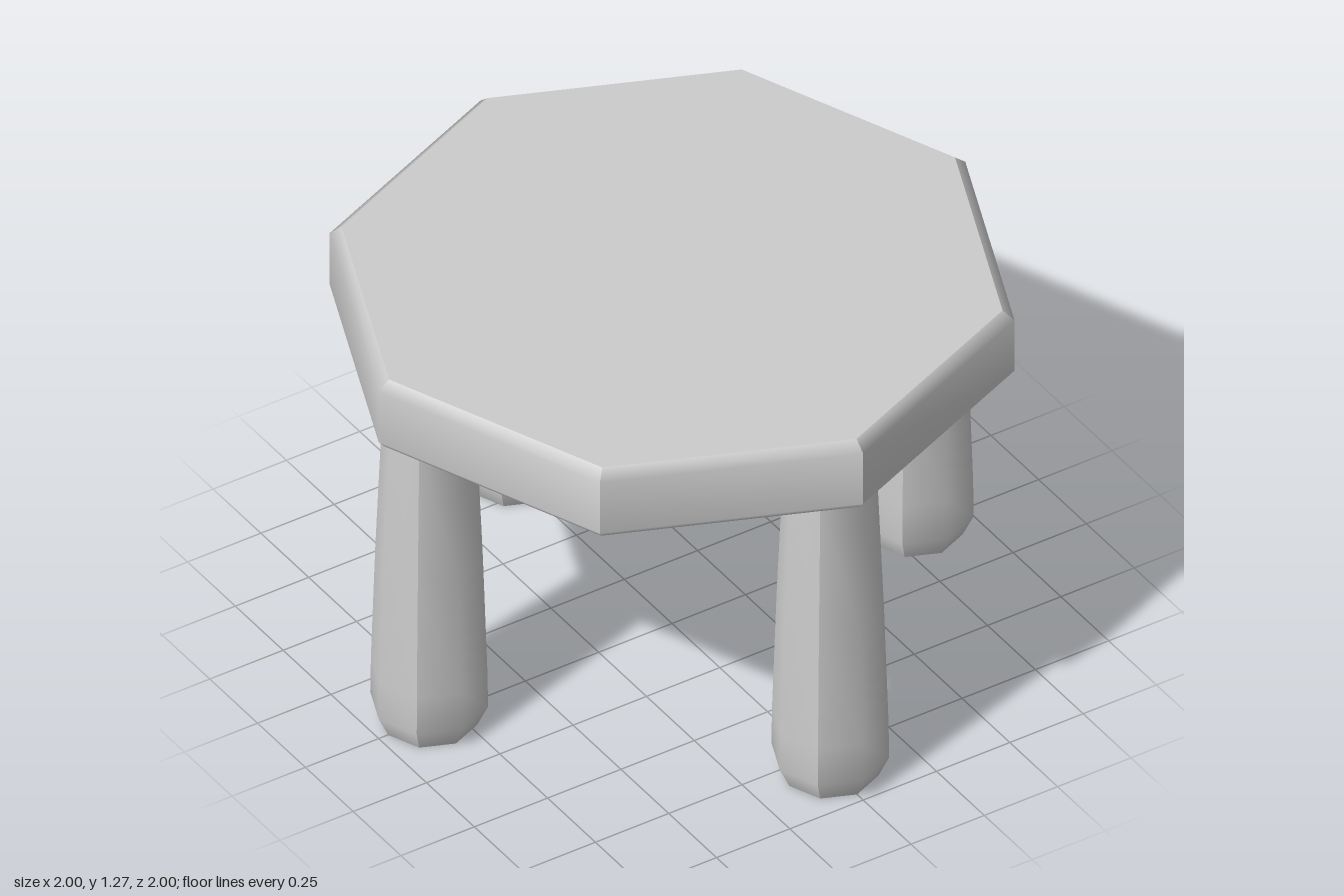
import * as THREE from 'three';
import { mergeGeometries } from 'three/addons/utils/BufferGeometryUtils.js';

const material = new THREE.MeshStandardMaterial({ color: 0xcccccc });

// Eight-sided turned solid with flat caps. Shading is smooth within each
// strip of sides and sharp between strips.
function octagonSolid(profile, strips, start) {
  const points = profile.map(([r, y]) => new THREE.Vector2(r, y));
  const arc = (Math.PI * 2) / strips;
  const parts = [];
  for (let i = 0; i < strips; i++) {
    const side = new THREE.LatheGeometry(points, 8 / strips, start + i * arc, arc);
    side.computeVertexNormals();
    parts.push(side);
  }
  const bottom = points[0];
  const top = points[points.length - 1];
  parts.push(new THREE.CircleGeometry(bottom.x, 8).rotateX(Math.PI / 2).translate(0, bottom.y, 0));
  parts.push(new THREE.CircleGeometry(top.x, 8).rotateX(-Math.PI / 2).translate(0, top.y, 0));
  return mergeGeometries(parts);
}

export function createModel() {
  const model = new THREE.Group();
  model.name = 'stool';

  // Octagonal seat with chamfered rims
  const seat = new THREE.Mesh(
    octagonSolid([[0.98, 1.037], [1, 1.06], [1, 1.24], [0.965, 1.27]], 8, 0),
    material
  );
  seat.name = 'seat';
  model.add(seat);

  // Four tapered legs with chamfered feet, sharp only on the diagonal edges
  const legGeometry = octagonSolid(
    [[0.14, 0], [0.172, 0.07], [0.17, 0.2], [0.157, 0.6], [0.138, 1.05]],
    4, Math.PI / 4
  );
  const names = ['frontLeg', 'leftLeg', 'backLeg', 'rightLeg'];
  names.forEach((name, i) => {
    const angle = (i * Math.PI) / 2;
    const leg = new THREE.Mesh(legGeometry, material);
    leg.name = name;
    leg.position.set(0.828 * Math.sin(angle), 0, 0.828 * Math.cos(angle));
    model.add(leg);
  });

  return model;
}
